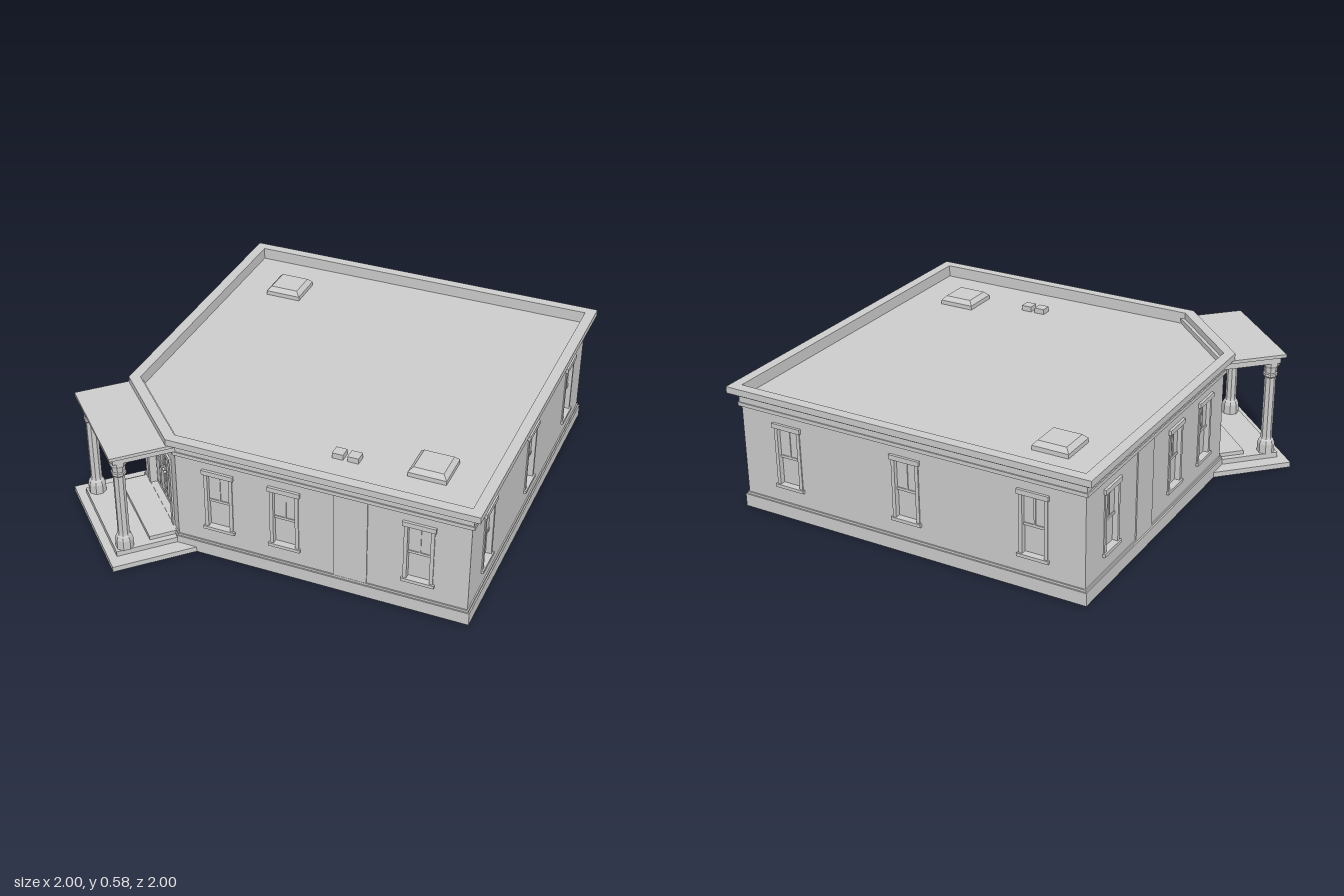
import * as THREE from 'three';

const MAT = new THREE.MeshStandardMaterial({ color: 0xcccccc });
const X0 = -0.72, X1 = 0.955, Z0 = -0.955, Z1 = 0.72, CUT = 1.09;
const WALL_TOP = 0.51;

function add(parent, name, geometry) {
  const mesh = new THREE.Mesh(geometry, MAT);
  mesh.name = name;
  parent.add(mesh);
  return mesh;
}

// Box given by its low and high corners
function box(parent, name, x0, x1, y0, y1, z0, z1) {
  const mesh = add(parent, name, new THREE.BoxGeometry(x1 - x0, y1 - y0, z1 - z0));
  mesh.position.set((x0 + x1) / 2, (y0 + y1) / 2, (z0 + z1) / 2);
  return mesh;
}

// Square plan with one cut corner, grown outward by o
function plan(o) {
  const c = CUT + o * Math.SQRT2, l = X0 - o, r = X1 + o, b = Z0 - o, f = Z1 + o;
  return [[l, b], [l, c + l], [f - c, f], [r, f], [r, b]].map(([x, z]) => new THREE.Vector2(x, -z));
}

// Horizontal layer of the plan, optionally open in the middle
function layer(parent, name, o, y0, y1, inner) {
  const shape = new THREE.Shape(plan(o));
  if (inner !== undefined) shape.holes.push(new THREE.Path(plan(inner)));
  const g = new THREE.ExtrudeGeometry(shape, { depth: y1 - y0, bevelEnabled: false });
  g.rotateX(-Math.PI / 2).translate(0, y0, 0);
  add(parent, name, g);
}

function rectPoints(x0, x1, y0, y1) {
  return [[x0, y0], [x1, y0], [x1, y1], [x0, y1]].map(([x, y]) => new THREE.Vector2(x, y));
}

// Wall panel with its outer face on z = 0 and rectangular openings
function wall(parent, name, u0, u1, openings) {
  const shape = new THREE.Shape(rectPoints(u0, u1, 0.03, WALL_TOP));
  for (const o of openings) shape.holes.push(new THREE.Path(rectPoints(...o)));
  const g = new THREE.ExtrudeGeometry(shape, { depth: 0.03, bevelEnabled: false });
  add(parent, name, g.translate(0, 0, -0.03));
}

// Sash window: trim, sill, lintel and two sashes
function makeWindow(parent, u) {
  const w = new THREE.Group();
  w.name = 'window';
  w.position.x = u;
  parent.add(w);
  for (const s of [-1, 1]) {
    const a = s * 0.058;
    box(w, 'windowJamb', a - 0.008, a + 0.008, 0.15, 0.43, -0.02, 0.005);
  }
  box(w, 'windowSill', -0.073, 0.073, 0.14, 0.155, -0.02, 0.012);
  box(w, 'windowLintel', -0.073, 0.073, 0.425, 0.447, -0.02, 0.012);
  box(w, 'lowerPane', -0.052, 0.052, 0.15, 0.3, -0.028, -0.02);
  box(w, 'upperPane', -0.052, 0.052, 0.285, 0.43, -0.028, -0.014);
  box(w, 'meetingRail', -0.052, 0.052, 0.28, 0.292, -0.02, -0.01);
  box(w, 'upperMullion', -0.004, 0.004, 0.29, 0.43, -0.016, -0.01);
}

// Double door with four raised panels on each leaf
function makeDoor(parent) {
  const d = new THREE.Group();
  d.name = 'doubleDoor';
  parent.add(d);
  for (const s of [-1, 1]) {
    box(d, 'doorJamb', s * 0.17 - 0.014, s * 0.17 + 0.014, 0.06, 0.415, -0.035, 0.008);
    box(d, 'doorLeaf', s * 0.079 - 0.077, s * 0.079 + 0.077, 0.065, 0.4, -0.036, -0.026);
    for (const c of [0.045, 0.113]) {
      box(d, 'lowerDoorPanel', s * c - 0.025, s * c + 0.025, 0.095, 0.22, -0.028, -0.021);
      box(d, 'upperDoorPanel', s * c - 0.025, s * c + 0.025, 0.248, 0.38, -0.028, -0.021);
    }
    const knob = add(d, 'doorKnob', new THREE.SphereGeometry(0.007, 10, 8));
    knob.position.set(s * 0.011, 0.233, -0.018);
  }
  box(d, 'doorLintel', -0.184, 0.184, 0.398, 0.418, -0.035, 0.01);
}

// Eight-sided column with a moulded base and capital
function makeColumn(parent, u, v) {
  const profile = [[0, 0.05], [0.04, 0.05], [0.04, 0.095], [0.034, 0.112], [0.028, 0.118], [0.026, 0.13],
    [0.026, 0.43], [0.033, 0.438], [0.033, 0.45], [0.029, 0.455], [0.032, 0.48], [0.04, 0.492],
    [0.04, 0.507], [0, 0.507]].map(([r, y]) => new THREE.Vector2(r, y));
  const g = new THREE.LatheGeometry(profile, 8, Math.PI / 8).toNonIndexed();
  g.computeVertexNormals();
  add(parent, 'porchColumn', g).position.set(u, 0, v);
}

// Roof hatch: curb with a tapered lid
function makeHatch(parent, x, z) {
  box(parent, 'hatchCurb', x - 0.085, x + 0.085, 0.525, 0.55, z - 0.085, z + 0.085);
  const g = new THREE.CylinderGeometry(0.066 * Math.SQRT2, 0.085 * Math.SQRT2, 0.02, 4, 1).toNonIndexed();
  g.rotateY(Math.PI / 4);
  g.computeVertexNormals();
  add(parent, 'hatchLid', g).position.set(x, 0.56, z);
}

export function createModel() {
  const model = new THREE.Group();
  model.name = 'building';

  // Base, frieze, cornice and roof
  layer(model, 'foundation', 0.012, 0, 0.06);
  layer(model, 'baseMoulding', 0.006, 0.06, 0.07, -0.02);
  layer(model, 'friezeBand', 0.012, 0.49, 0.507, -0.02);
  layer(model, 'frieze', 0.007, 0.507, 0.54, -0.005);
  layer(model, 'corniceMoulding', 0.02, 0.54, 0.555, -0.005);
  layer(model, 'cornice', 0.043, 0.555, 0.585, -0.005);
  layer(model, 'roofDeck', -0.003, 0.5, 0.53);

  // Straight walls: turn, outward distance, extent, windows, pilaster
  const walls = [
    ['frontWall', 0, Z1, Z1 - CUT, X1, [-0.17, 0.135, 0.735], [0.36, 0.51]],
    ['leftWall', Math.PI / 2, X1, -Z1, -Z0, [-0.485, 0.12, 0.72]],
    ['backWall', Math.PI, -Z0, -X1, -X0, [-0.72, -0.12, 0.485]],
    ['rightWall', -Math.PI / 2, -X0, Z0, CUT + X0, [0.17, -0.135, -0.735], [-0.51, -0.36]],
  ];
  for (const [name, turn, dist, u0, u1, windows, pilaster] of walls) {
    const side = new THREE.Group();
    side.name = name;
    side.rotation.y = turn;
    side.position.set(Math.sin(turn) * dist, 0, Math.cos(turn) * dist);
    model.add(side);
    wall(side, 'wallPanel', u0, u1, windows.map((u) => [u - 0.06, u + 0.06, 0.15, 0.43]));
    windows.forEach((u) => makeWindow(side, u));
    if (pilaster) box(side, 'pilaster', pilaster[0], pilaster[1], 0.06, 0.495, -0.01, 0.005);
  }

  // Cut corner with the entrance; local z points out through the door
  const corner = new THREE.Group();
  corner.name = 'entrance';
  corner.rotation.y = -Math.PI / 4;
  const n = CUT / Math.SQRT2;
  corner.position.set(-n * Math.SQRT1_2, 0, n * Math.SQRT1_2);
  model.add(corner);
  const half = (Z1 - CUT - X0) * Math.SQRT1_2;
  wall(corner, 'entranceWall', -half, half, [[-0.165, 0.165, 0.06, 0.405]]);
  makeDoor(corner);

  // Porch steps, columns and canopy
  box(corner, 'lowerStep', -0.318, 0.318, 0, 0.025, -0.057, 1.096 - n);
  box(corner, 'upperStep', -0.252, 0.252, 0.025, 0.05, -0.03, 1.058 - n);
  box(corner, 'doorLanding', -0.225, 0.225, 0.05, 0.068, -0.03, 0.9 - n);
  for (const s of [-1, 1]) makeColumn(corner, s * 0.22, 1.011 - n);
  box(corner, 'canopyBeam', -0.257, 0.257, 0.507, 0.54, -0.02, 1.042 - n);
  box(corner, 'canopyRoof', -0.276, 0.276, 0.54, 0.555, -0.021, 1.061 - n);

  // Roof fittings
  makeHatch(model, -0.465, -0.7);
  makeHatch(model, 0.695, 0.455);
  for (const x of [0.3, 0.37]) box(model, 'roofVent', x - 0.025, x + 0.025, 0.525, 0.555, 0.49, 0.54);

  return model;
}
